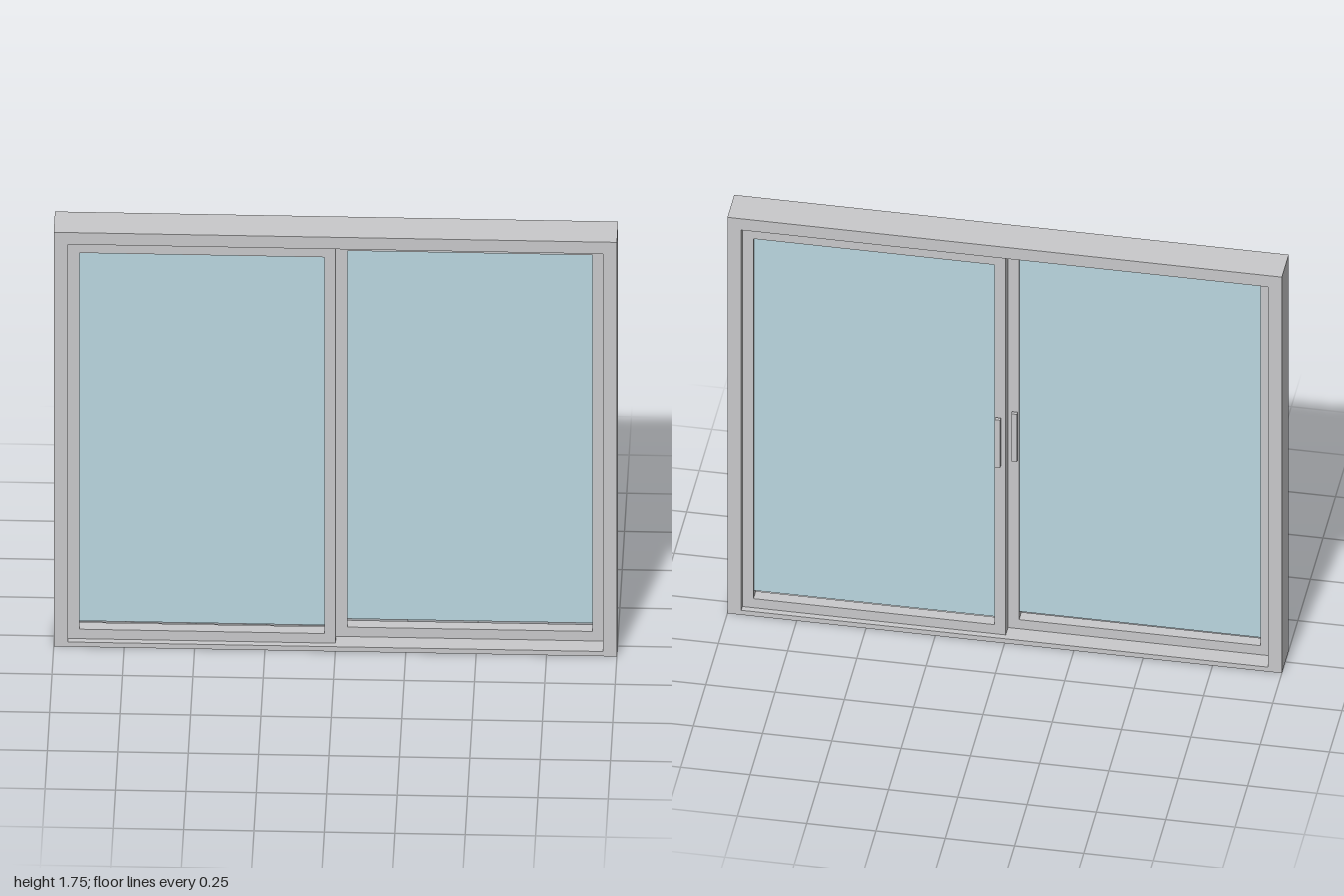
import * as THREE from 'three';

const grey = new THREE.MeshStandardMaterial({ color: 0xc8c8ca });
grey.name = 'light grey aluminium';
const glassBlue = new THREE.MeshStandardMaterial({ color: 0xb9d6df });
glassBlue.name = 'pale blue glass';

function box(name, material, w, h, d, x, y, z) {
  const mesh = new THREE.Mesh(new THREE.BoxGeometry(w, h, d), material);
  mesh.name = name;
  mesh.position.set(x, y, z);
  return mesh;
}

function rectangle(path, x0, y0, x1, y1) {
  path.moveTo(x0, y0);
  path.lineTo(x1, y0);
  path.lineTo(x1, y1);
  path.lineTo(x0, y1);
  path.closePath();
  return path;
}

// Rectangular ring from two rectangles [x0, y0, x1, y1], centred on z
function ring(name, outer, inner, depth, z) {
  const shape = rectangle(new THREE.Shape(), ...outer);
  shape.holes.push(rectangle(new THREE.Path(), ...inner));
  const geometry = new THREE.ExtrudeGeometry(shape, { depth, bevelEnabled: false });
  geometry.translate(0, 0, z - depth / 2);
  const mesh = new THREE.Mesh(geometry, grey);
  mesh.name = name;
  return mesh;
}

// Sliding sash: side is -1 or 1, z is the centre of its track
function createSash(name, side, z) {
  const depth = 0.045;
  const sash = new THREE.Group();
  sash.name = name;
  const x = side * 0.475;
  sash.add(ring('sashFrame',
    [x - 0.475, 0.02, x + 0.475, 1.69],
    [x - 0.435, 0.06, x + 0.435, 1.65], depth, z));

  // Thick pane stops short of the bottom rail and runs into the top rail
  sash.add(box('glassPane', glassBlue, 0.874, 1.585, 0.028, x, 0.8825, z));

  // Pull handle on the back of the meeting stile
  const handle = new THREE.Group();
  handle.name = 'handle';
  const back = z - depth / 2;
  const hx = side * 0.026;
  handle.add(box('handleBar', grey, 0.02, 0.21, 0.014, hx, 0.877, back - 0.015));
  for (const dy of [-0.085, 0.085]) {
    handle.add(box('handlePost', grey, 0.014, 0.02, 0.012, hx, 0.877 + dy, back - 0.004));
  }
  sash.add(handle);
  return sash;
}

export function createModel() {
  const model = new THREE.Group();
  model.name = 'slidingWindow';

  // Fixed outer frame with a low sill
  model.add(ring('outerFrame', [-1, 0, 1, 1.75], [-0.95, 0.02, 0.95, 1.7], 0.136, 0));

  // Two sashes on neighbouring tracks
  model.add(createSash('frontSash', -1, 0.0225));
  model.add(createSash('backSash', 1, -0.0225));
  return model;
}
